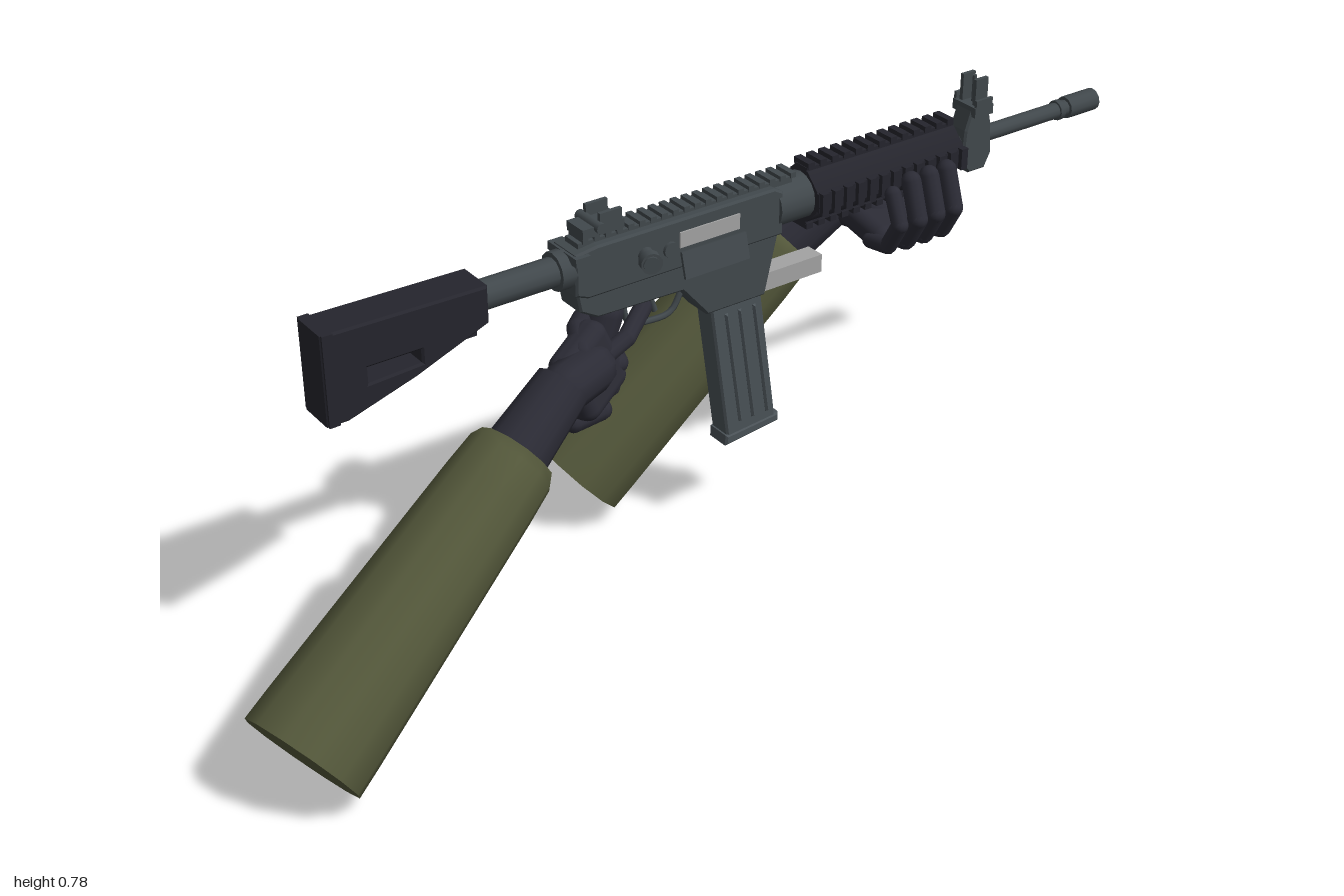
import * as THREE from 'three';
import { RoundedBoxGeometry } from 'three/addons/geometries/RoundedBoxGeometry.js';

const V = (x, y, z) => new THREE.Vector3(x, y, z);
const UP = V(0, 1, 0);
const CX = -0.03; // centre plane of the rifle
const AY = 0.66;  // height of the bore

const paint = (name, color) => {
  const m = new THREE.MeshStandardMaterial({ color });
  m.name = name;
  return m;
};

export function createModel() {
  const root = new THREE.Group();
  root.name = 'rifleWithArms';
  const steel = paint('gunmetal', 0x41484c);
  const magSteel = paint('magazineSteel', 0x4a5257);
  const black = paint('blackPolymer', 0x25252d);
  const glove = paint('gloveBlack', 0x2b2b35);
  const olive = paint('oliveCloth', 0x53573a);
  const silver = paint('brightSteel', 0xa3a3a3);

  const group = (name) => {
    const g = new THREE.Group();
    g.name = name;
    root.add(g);
    return g;
  };
  const add = (parent, name, geo, mat) => {
    const m = new THREE.Mesh(geo, mat);
    m.name = name;
    parent.add(m);
    return m;
  };
  const box = (parent, name, mat, x, y, z, w, h, d) => {
    const m = add(parent, name, new THREE.BoxGeometry(w, h, d), mat);
    m.position.set(x, y, z);
    return m;
  };
  // Side outline in (z, y), extruded across x
  const plate = (parent, name, mat, pts, width, hole, x = CX) => {
    const toV2 = (p) => new THREE.Vector2(-p[0], p[1]);
    const s = new THREE.Shape(pts.map(toV2));
    if (hole) s.holes.push(new THREE.Path(hole.map(toV2)));
    const b = 0.004;
    const g = new THREE.ExtrudeGeometry(s, {
      depth: width - 2 * b, bevelEnabled: true, bevelSize: b, bevelThickness: b, bevelOffset: -b, bevelSegments: 1,
    });
    g.translate(0, 0, -width / 2 + b).rotateY(Math.PI / 2).translate(x, 0, 0);
    return add(parent, name, g, mat);
  };
  // Round bar from a to b
  const rod = (parent, name, mat, a, b, ra, rb = ra, sides = 12) => {
    const d = b.clone().sub(a);
    const m = add(parent, name, new THREE.CylinderGeometry(rb, ra, d.length(), sides), mat);
    m.position.copy(a).add(b).multiplyScalar(0.5);
    m.quaternion.setFromUnitVectors(UP, d.normalize());
    return m;
  };
  // Jointed finger made of overlapping capsules
  const finger = (parent, name, pts, r) => {
    for (let i = 0; i < pts.length - 1; i++) {
      const d = pts[i + 1].clone().sub(pts[i]);
      const m = add(parent, name, new THREE.CapsuleGeometry(r, d.length(), 4, 10), glove);
      m.position.copy(pts[i]).add(pts[i + 1]).multiplyScalar(0.5);
      m.quaternion.setFromUnitVectors(UP, d.normalize());
    }
  };

  // Stock and buffer tube
  const stock = group('stock');
  plate(stock, 'buttstock', black,
    [[0.73, 0.705], [0.73, 0.535], [0.69, 0.535], [0.56, 0.575], [0.42, 0.63], [0.42, 0.7]], 0.08,
    [[0.65, 0.622], [0.65, 0.592], [0.55, 0.597], [0.55, 0.622]]);
  box(stock, 'buttPad', black, CX, 0.62, 0.718, 0.084, 0.17, 0.02);
  box(stock, 'stockLever', black, CX, 0.604, 0.485, 0.025, 0.014, 0.11);
  rod(stock, 'bufferTube', steel, V(CX, 0.663, 0.45), V(CX, 0.663, 0.23), 0.027);
  rod(stock, 'tubeCollar', steel, V(CX, 0.663, 0.27), V(CX, 0.663, 0.23), 0.036);

  // Receiver
  const receiver = group('receiver');
  plate(receiver, 'upperReceiver', steel,
    [[0.245, 0.7], [0.245, 0.62], [0.22, 0.61], [-0.2, 0.61], [-0.2, 0.695], [-0.18, 0.706], [0.2, 0.706]], 0.072);
  plate(receiver, 'lowerReceiver', steel,
    [[0.245, 0.64], [0.235, 0.585], [0.2, 0.565], [0.02, 0.56], [-0.035, 0.495], [-0.165, 0.495], [-0.195, 0.62], [-0.2, 0.64]], 0.064);
  rod(receiver, 'barrelNut', steel, V(CX, AY, -0.19), V(CX, AY, -0.275), 0.045, 0.045, 16);
  box(receiver, 'topRail', steel, CX, 0.706, 0.0, 0.04, 0.012, 0.46);
  for (let i = 0; i < 20; i++) box(receiver, 'railTooth', steel, CX, 0.714, 0.215 - i * 0.0235, 0.044, 0.01, 0.012);
  box(receiver, 'boltCover', silver, CX + 0.035, 0.667, -0.035, 0.008, 0.03, 0.13);
  const door = box(receiver, 'ejectionDoor', steel, 0.024, 0.625, -0.035, 0.006, 0.05, 0.14);
  door.rotation.z = 0.25;
  rod(receiver, 'forwardAssist', steel, V(0, AY, 0.1), V(0.045, AY, 0.115), 0.015);
  rod(receiver, 'assistKnob', steel, V(0.026, AY, 0.108), V(0.042, AY, 0.113), 0.02);
  rod(receiver, 'receiverPin', steel, V(-0.07, 0.655, 0.05), V(0.012, 0.655, 0.05), 0.015);
  box(receiver, 'chargingHandle', steel, CX, 0.69, 0.235, 0.09, 0.016, 0.03);
  rod(receiver, 'selectorPin', steel, V(-0.092, 0.655, 0.13), V(-0.06, 0.655, 0.13), 0.019);
  box(receiver, 'boltCatch', steel, -0.068, 0.62, -0.05, 0.014, 0.05, 0.03);
  box(receiver, 'frontLug', silver, CX, 0.513, -0.235, 0.04, 0.036, 0.14);

  // Trigger and guard
  const guardPath = new THREE.CatmullRomCurve3(
    [[0.565, 0.13], [0.515, 0.115], [0.504, 0.07], [0.508, 0.025], [0.545, 0.0]].map(([y, z]) => V(CX, y, z)));
  add(receiver, 'triggerGuard', new THREE.TubeGeometry(guardPath, 16, 0.006, 6), steel);
  rod(receiver, 'trigger', steel, V(CX, 0.57, 0.075), V(CX, 0.522, 0.06), 0.006);

  // Rear sight
  const rear = group('rearSight');
  box(rear, 'sightBase', steel, CX, 0.728, 0.18, 0.05, 0.018, 0.085);
  for (const s of [-1, 1]) box(rear, 'sightEar', steel, CX + s * 0.022, 0.744, 0.165, 0.008, 0.03, 0.045);
  rod(rear, 'sightKnob', steel, V(CX - 0.035, 0.735, 0.19), V(CX + 0.035, 0.735, 0.19), 0.01);

  // Magazine, leaning forward towards its foot
  const mag = group('magazine');
  plate(mag, 'magazineBody', magSteel, [[-0.045, 0.52], [-0.088, 0.205], [-0.2, 0.217], [-0.158, 0.52]], 0.05);
  plate(mag, 'magazineFoot', magSteel, [[-0.083, 0.218], [-0.082, 0.196], [-0.206, 0.209], [-0.206, 0.228]], 0.055);
  for (const s of [-1, 1]) for (const o of [0.022, 0.052, 0.085]) {
    plate(mag, 'magazineRib', magSteel,
      [[-0.055 - o, 0.48], [-0.09 - o, 0.24], [-0.098 - o, 0.24], [-0.063 - o, 0.48]], 0.009, null, CX + s * 0.025);
  }

  // Handguard with rails on four sides
  const hand = group('handguard');
  rod(hand, 'handguardCore', black, V(CX, AY, -0.265), V(CX, AY, -0.615), 0.054, 0.054, 8).rotateY(Math.PI / 8);
  for (let q = 0; q < 4; q++) {
    const rail = new THREE.Group();
    rail.name = 'handguardRail';
    rail.position.set(CX, AY, -0.44);
    rail.rotation.z = q * Math.PI / 2;
    hand.add(rail);
    box(rail, 'railBase', black, 0, 0.05, 0, 0.036, 0.014, 0.35);
    for (let i = 0; i < 13; i++) box(rail, 'railTooth', black, 0, 0.06, -0.166 + i * 0.0277, 0.042, 0.012, 0.015);
  }

  // Barrel, gas block, front sight and muzzle
  const barrel = group('barrel');
  rod(barrel, 'barrelTube', steel, V(CX, AY, -0.6), V(CX, AY, -0.95), 0.016);
  rod(barrel, 'muzzleDevice', steel, V(CX, AY, -0.925), V(CX, AY, -1), 0.022);
  rod(barrel, 'muzzleRing', steel, V(CX, AY, -0.9), V(CX, AY, -0.912), 0.02);
  plate(barrel, 'gasBlock', steel,
    [[-0.645, 0.69], [-0.64, 0.62], [-0.66, 0.6], [-0.7, 0.6], [-0.715, 0.63], [-0.71, 0.69], [-0.7, 0.735], [-0.66, 0.735]], 0.046);
  box(barrel, 'frontSightBase', steel, CX, 0.727, -0.68, 0.064, 0.02, 0.045);
  for (const s of [-1, 1]) {
    box(barrel, 'sightWing', steel, CX + s * 0.018, 0.762, -0.68, 0.008, 0.055, 0.03);
    box(barrel, 'sightStep', steel, CX + s * 0.029, 0.735, -0.68, 0.006, 0.032, 0.04);
  }
  rod(barrel, 'frontPost', steel, V(CX, 0.73, -0.68), V(CX, 0.79, -0.68), 0.004);

  // Pistol grip
  const grip = group('pistolGrip');
  finger(grip, 'gripCore', [V(CX, 0.55, 0.165), V(CX, 0.372, 0.235)], 0.034);

  // Sleeve running from the open elbow end to a rounded cuff
  const sleeve = (parent, elbow, cuff, r0, r1) => {
    const d = cuff.clone().sub(elbow), len = d.length();
    const prof = [[r0, 0], [r0 * 0.98, 0.06], [r1 * 1.06, len * 0.86], [r1, len - 0.02], [r1 * 0.88, len], [0.03, len + 0.004]];
    const q = new THREE.Quaternion().setFromUnitVectors(UP, d.normalize());
    const s = add(parent, 'sleeve', new THREE.LatheGeometry(prof.map((p) => new THREE.Vector2(...p)), 12), olive);
    const end = add(parent, 'sleeveEnd', new THREE.CircleGeometry(r0, 12, Math.PI / 2).rotateX(Math.PI / 2), olive);
    for (const m of [s, end]) {
      m.position.copy(elbow);
      m.quaternion.copy(q);
    }
  };
  const palm = (parent, c, size, rot) => {
    const m = add(parent, 'palm', new RoundedBoxGeometry(...size, 4, Math.min(...size) * 0.42), glove);
    m.position.copy(c);
    m.rotation.set(...rot);
  };

  // Arm holding the pistol grip
  const rearArm = group('triggerArm');
  sleeve(rearArm, V(0.237, 0.105, 0.935), V(0.112, 0.435, 0.44), 0.113, 0.082);
  rod(rearArm, 'wrist', glove, V(0.115, 0.42, 0.46), V(0.08, 0.51, 0.325), 0.06, 0.05);
  finger(rearArm, 'handHeel', [V(0.082, 0.505, 0.325), V(0.045, 0.5, 0.245)], 0.045);
  palm(rearArm, V(0.026, 0.485, 0.24), [0.06, 0.15, 0.13], [0.4, 0.35, 0]);
  for (let i = 0; i < 3; i++) {
    const y = 0.475 - i * 0.042, z = 0.185 + i * 0.018;
    finger(rearArm, 'gripFinger',
      [V(0.025, y, z + 0.05), V(0.018, y, z - 0.012), V(-0.03, y - 0.002, z - 0.03), V(-0.062, y - 0.006, z + 0.005)], 0.02);
  }
  finger(rearArm, 'triggerFinger', [V(0.03, 0.5, 0.215), V(0.022, 0.52, 0.155), V(-0.015, 0.545, 0.095)], 0.017);
  finger(rearArm, 'thumb', [V(0.04, 0.535, 0.26), V(-0.01, 0.55, 0.235), V(-0.06, 0.535, 0.19)], 0.02);

  // Arm supporting the handguard
  const frontArm = group('supportArm');
  sleeve(frontArm, V(-0.228, 0.105, 0.117), V(-0.152, 0.508, -0.318), 0.112, 0.083);
  rod(frontArm, 'wrist', glove, V(-0.155, 0.49, -0.3), V(-0.13, 0.572, -0.425), 0.064, 0.055);
  finger(frontArm, 'handHeel', [V(-0.125, 0.57, -0.42), V(-0.06, 0.56, -0.46)], 0.045);
  palm(frontArm, V(-0.03, 0.552, -0.475), [0.14, 0.055, 0.15], [0, 0, -0.2]);
  for (let i = 0; i < 4; i++) {
    const z = -0.405 - i * 0.043, r = i === 0 ? 0.016 : 0.019;
    finger(frontArm, 'supportFinger',
      [V(0.01, 0.54, z), V(0.06, 0.548, z), V(0.09, 0.602, z), V(0.062, 0.668 - (i === 0 ? 0.015 : 0), z - 0.004)], r);
  }
  finger(frontArm, 'thumb', [V(-0.11, 0.575, -0.45), V(-0.108, 0.62, -0.49), V(-0.1, 0.645, -0.535)], 0.021);

  return root;
}
